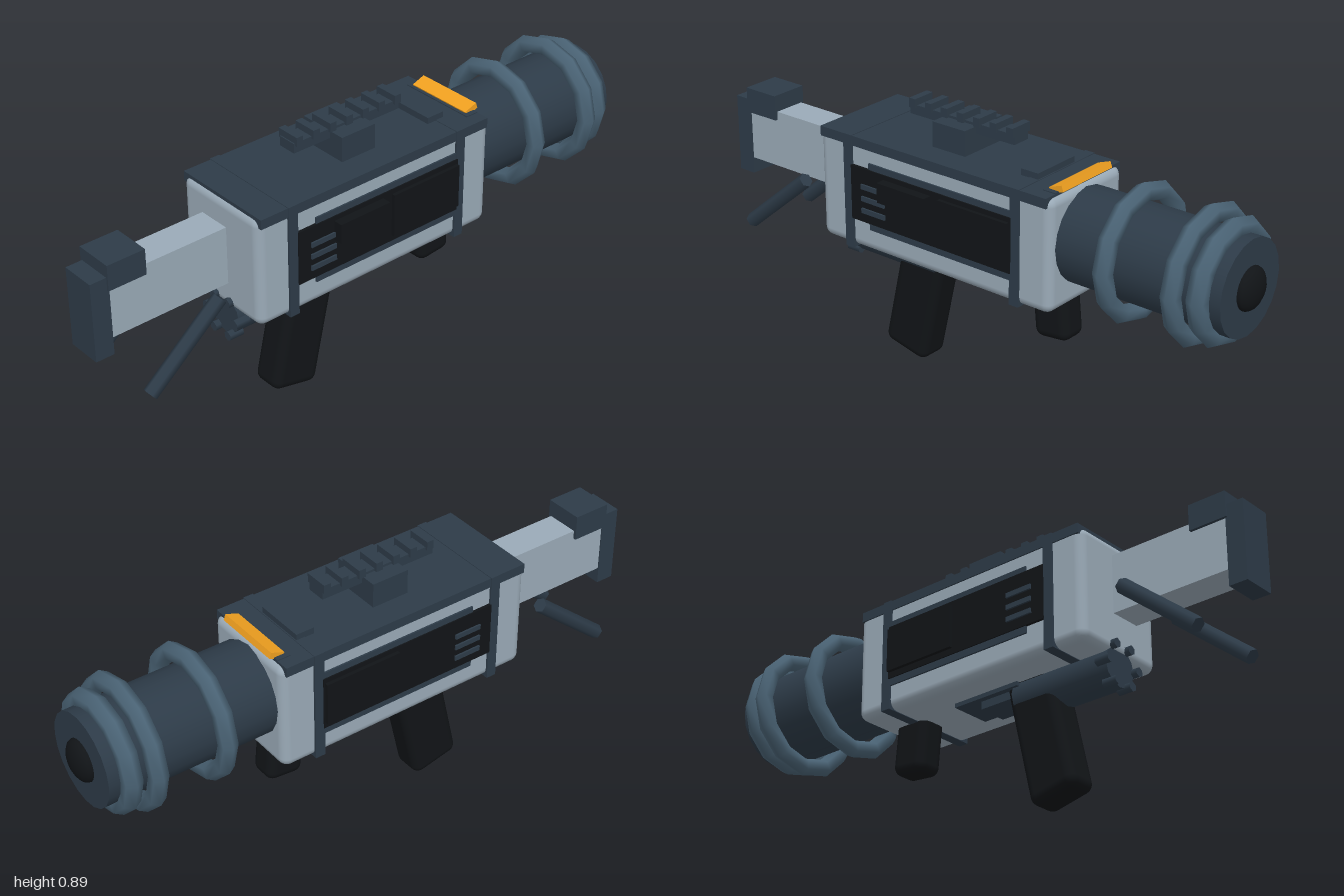
import * as THREE from 'three';
import { RoundedBoxGeometry } from 'three/addons/geometries/RoundedBoxGeometry.js';

export function createModel() {
  const root = new THREE.Group();
  const mat = (color) => new THREE.MeshStandardMaterial({ color });
  const light = mat(0x9aaab7), dark = mat(0x2d3b48), black = mat(0x111417);
  const steel = mat(0x4a6375), amber = mat(0xf0a020);

  function add(name, geo, material, x = 0, y = 0, z = 0, rx = 0) {
    const m = new THREE.Mesh(geo, material);
    m.name = name;
    m.position.set(x, y, z);
    m.rotation.x = rx;
    root.add(m);
    return m;
  }
  // box given by its limits on each axis
  const box = (name, material, [x0, x1], [y0, y1], [z0, z1]) =>
    add(name, new THREE.BoxGeometry(x1 - x0, y1 - y0, z1 - z0), material,
      (x0 + x1) / 2, (y0 + y1) / 2, (z0 + z1) / 2);
  const rod = (name, material, r, len, sides, x, y, z) =>
    add(name, new THREE.CylinderGeometry(r, r, len, sides), material, x, y, z, Math.PI / 2);

  // receiver with top cover and two straps
  add('receiver', new RoundedBoxGeometry(0.35, 0.37, 0.91, 3, 0.03), light, 0, 0.595, 0.055);
  box('topCover', dark, [-0.179, 0.179], [0.752, 0.784], [-0.385, 0.5]);
  for (const z of [0.385, -0.272]) box('strap', dark, [-0.182, 0.182], [0.408, 0.786], [z - 0.017, z + 0.017]);

  // side panels, mirrored
  for (const s of [-1, 1]) {
    const side = (a, b) => (s > 0 ? [a, b] : [-b, -a]);
    box('sideFrame', dark, side(0.16, 0.181), [0.487, 0.71], [-0.26, 0.3]);
    box('sidePanel', black, side(0.16, 0.185), [0.51, 0.69], [-0.26, 0.37]);
    box('sideHatch', black, side(0.17, 0.197), [0.53, 0.675], [-0.255, 0.01]);
    for (const y of [0.55, 0.59, 0.63]) box('vent', dark, side(0.17, 0.191), [y - 0.008, y + 0.008], [0.23, 0.325]);
  }
  box('sideModule', black, [0.17, 0.216], [0.61, 0.675], [0.045, 0.235]);

  // barrel, rings and bore
  rod('barrel', dark, 0.15, 0.58, 20, 0, 0.617, -0.675);
  for (const [z, r, t] of [[-0.597, 0.188, 0.03], [-0.828, 0.188, 0.03], [-0.9, 0.163, 0.033]])
    add('barrelRing', new THREE.TorusGeometry(r, t, 6, 12), steel, 0, 0.617, z);
  add('bore', new THREE.SphereGeometry(0.068, 16, 12), black, 0, 0.617, -0.965).scale.z = 0.5;

  // sights and toothed rail
  box('amberLight', amber, [-0.118, 0.118], [-0.01, 0.01], [-0.024, 0.024]).position.set(0, 0.79, -0.375);
  root.children.at(-1).rotation.x = 0.35;
  box('lightMount', dark, [-0.135, 0.135], [0.76, 0.787], [-0.385, -0.34]);
  box('rearBlock', dark, [-0.087, 0.087], [0.78, 0.805], [-0.285, -0.222]);
  box('railPost', dark, [-0.087, 0.087], [0.78, 0.866], [-0.008, 0.12]);
  box('rail', dark, [-0.032, 0.032], [0.842, 0.874], [-0.152, 0.257]);
  for (let i = 0; i < 7; i++) {
    const z = -0.14 + i * 0.0635;
    box('railTooth', dark, [-0.041, 0.041], [0.866, 0.896], [z - 0.012, z + 0.012]);
  }

  // stock
  box('stockBar', light, [-0.055, 0.055], [0.522, 0.714], [0.53, 0.95]);
  box('buttPlate', dark, [-0.058, 0.058], [0.467, 0.728], [0.938, 1]);
  box('cheekBlock', dark, [-0.065, 0.065], [0.686, 0.77], [0.817, 0.945]);

  // slanted struts beside the stock
  for (const x of [-0.132, 0.132]) {
    const a = new THREE.Vector3(x, 0.552, 0.62), b = new THREE.Vector3(x, 0.337, 0.878);
    const d = a.clone().sub(b);
    const strut = add('strut', new THREE.CylinderGeometry(0.024, 0.024, d.length(), 6), dark);
    strut.position.copy(a.add(b).multiplyScalar(0.5));
    strut.quaternion.setFromUnitVectors(new THREE.Vector3(0, 1, 0), d.normalize());
  }

  // grips
  add('mainGrip', new RoundedBoxGeometry(0.114, 0.46, 0.172, 3, 0.03), black, 0, 0.243, 0.234, -0.22);
  add('foreGrip', new RoundedBoxGeometry(0.1, 0.22, 0.128, 3, 0.03), black, 0, 0.36, -0.297, 0.1);

  // canister under the receiver with a ring of bolts
  rod('canister', dark, 0.066, 0.36, 12, 0, 0.375, 0.325);
  for (let i = 0; i < 6; i++) {
    const a = (i * Math.PI) / 3;
    rod('bolt', dark, 0.016, 0.05, 6, 0.068 * Math.cos(a), 0.377 + 0.068 * Math.sin(a), 0.5);
  }
  box('triggerHousing', dark, [-0.05, 0.05], [0.37, 0.43], [0.01, 0.17]);
  box('underPlate', dark, [-0.07, 0.07], [0.396, 0.43], [-0.08, 0.17]);

  return root;
}
